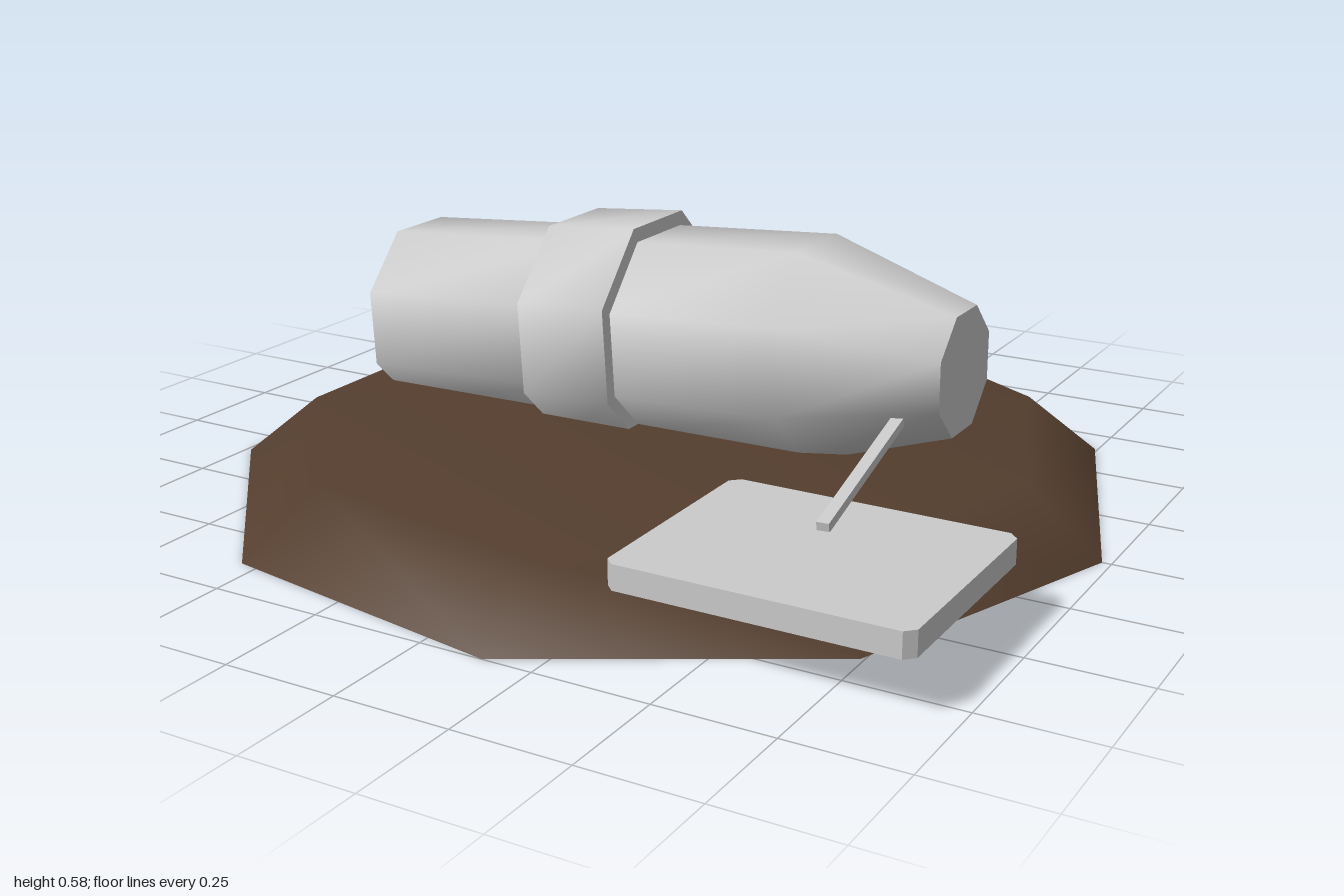
import * as THREE from 'three';

const hullGrey = new THREE.MeshStandardMaterial({ color: 0xcbcbcb });
hullGrey.name = 'hullGrey';
const panelGrey = new THREE.MeshStandardMaterial({ color: 0xcbcbcb, side: THREE.DoubleSide });
panelGrey.name = 'panelGrey';
const soilBrown = new THREE.MeshStandardMaterial({ color: 0x543e2e, side: THREE.DoubleSide });
soilBrown.name = 'soilBrown';

// Joins equal-length rings of points into a skin, with optional flat end caps.
function loft(rings, capStart, capEnd) {
  const n = rings[0].length;
  const pos = rings.flat().flatMap((p) => p.toArray());
  const index = [];
  for (let i = 0; i < rings.length - 1; i++) {
    for (let j = 0; j < n; j++) {
      const a = i * n + j, b = i * n + (j + 1) % n;
      index.push(a, b, a + n, b, b + n, a + n);
    }
  }
  const cap = (ring, flip) => {
    const base = pos.length / 3; // own vertices keep the rim sharp
    ring.forEach((p) => pos.push(p.x, p.y, p.z));
    for (let j = 1; j < n - 1; j++) {
      index.push(base, base + (flip ? j + 1 : j), base + (flip ? j : j + 1));
    }
  };
  if (capStart) cap(rings[0], true);
  if (capEnd) cap(rings[rings.length - 1], false);
  const geo = new THREE.BufferGeometry();
  geo.setAttribute('position', new THREE.Float32BufferAttribute(pos, 3));
  geo.setIndex(index);
  geo.computeVertexNormals();
  return geo;
}

// Octagonal section across the hull; apothem is half the distance across flats.
function octagon(x, y, apothem, tilt) {
  const r = apothem / Math.cos(Math.PI / 8);
  return Array.from({ length: 8 }, (_, k) => {
    const t = (k + 0.5) * Math.PI / 4;
    const up = r * Math.cos(t);
    return new THREE.Vector3(x - up * Math.sin(tilt), y + up * Math.cos(tilt), -0.058 + r * Math.sin(t));
  });
}

// Rectangle with clipped corners at height y.
function clippedRect(cx, cz, w, d, c, y) {
  const x = w / 2, z = d / 2;
  return [[x - c, z], [x, z - c], [x, c - z], [x - c, -z], [c - x, -z], [-x, c - z], [-x, z - c], [c - x, z]]
    .map(([px, pz]) => new THREE.Vector3(cx + px, y, cz + pz));
}

export function createModel() {
  const model = new THREE.Group();
  model.name = 'crashedCapsule';
  const add = (name, geo, mat) => {
    const mesh = new THREE.Mesh(geo, mat);
    mesh.name = name;
    model.add(mesh);
    return mesh;
  };

  // Nine-sided mound, open underneath
  const profile = [[1.015, 0], [0.845, 0.14], [0, 0.14]].map(([x, y]) => new THREE.Vector2(x, y));
  add('mound', new THREE.LatheGeometry(profile, 9, Math.PI / 2), soilBrown).position.x = -0.035;

  // Half-buried hull: rear body, collar, and front body with tapered nose
  const tilt = 0.058;
  add('rearBody', loft([octagon(-0.763, 0.282, 0.208, tilt), octagon(-0.25, 0.313, 0.217, tilt)], true, true), hullGrey);
  add('collar', loft([octagon(-0.316, 0.311, 0.249, tilt), octagon(-0.091, 0.325, 0.255, tilt)], true, true), hullGrey);
  add('frontBody', loft([
    octagon(-0.15, 0.32, 0.224, tilt),
    octagon(0.305, 0.343, 0.232, tilt),
    octagon(0.64, 0.34, 0.132, 0),
  ], true, true), hullGrey);

  // Thin strut between nose and panel
  const from = new THREE.Vector3(0.554, 0.257, 0.085);
  const to = new THREE.Vector3(0.591, 0.178, 0.51);
  const strut = add('strut', new THREE.BoxGeometry(0.026, 0.02, from.distanceTo(to)), hullGrey);
  strut.position.copy(from).lerp(to, 0.5);
  strut.lookAt(to);

  // Panel tray lying on the mound, open underneath
  add('panel', loft([0.117, 0.17].map((y) => clippedRect(0.615, 0.592, 0.62, 0.504, 0.02, y)), false, true).toNonIndexed(), panelGrey)
    .geometry.computeVertexNormals();

  return model;
}
